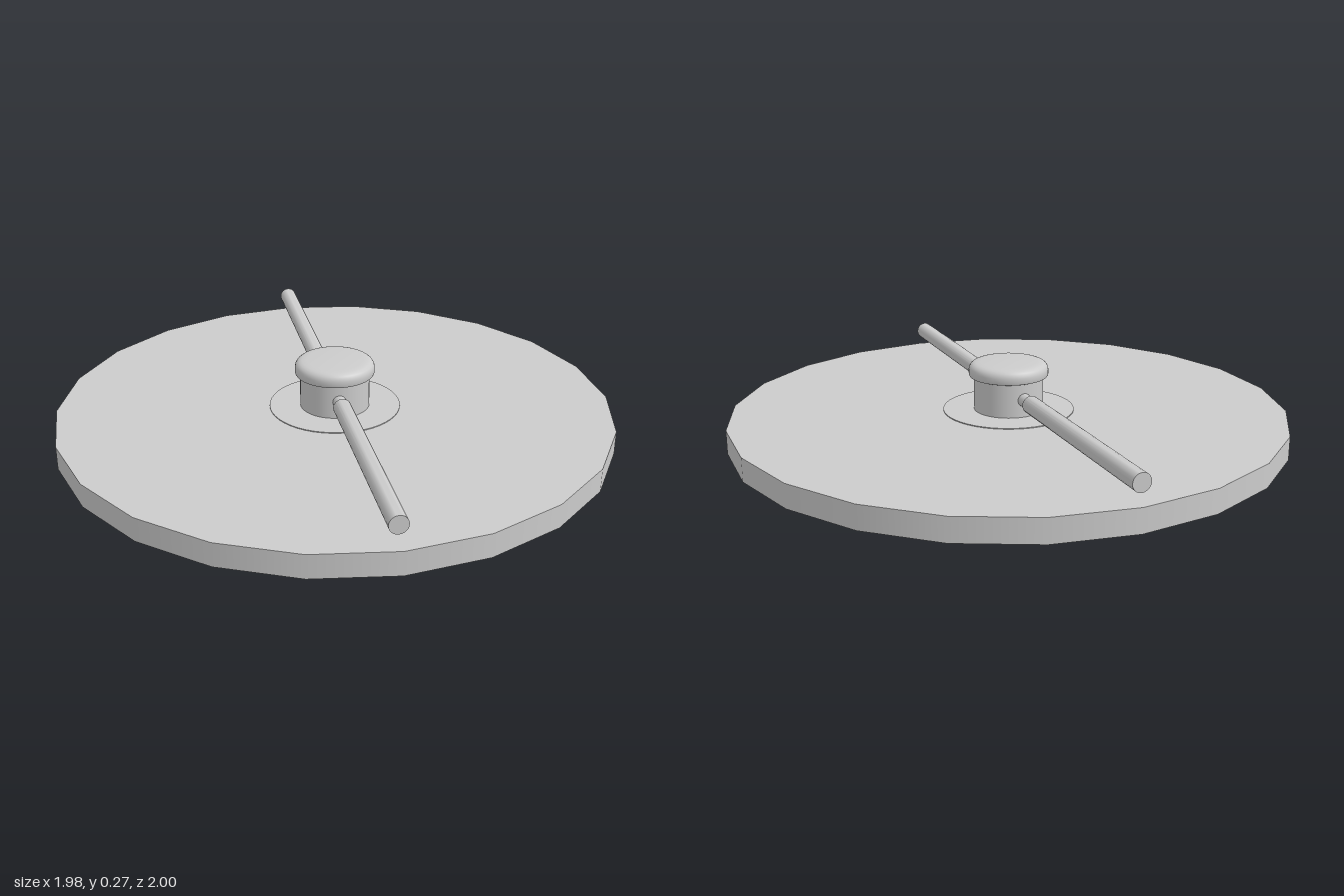
import * as THREE from 'three';
import { toCreasedNormals } from 'three/addons/utils/BufferGeometryUtils.js';

const material = new THREE.MeshStandardMaterial({ color: 0xcccccc });

function add(parent, name, geometry) {
  const mesh = new THREE.Mesh(geometry, material);
  mesh.name = name;
  parent.add(mesh);
  return mesh;
}

// Upright cylinder between two heights
function drum(parent, name, radius, y0, y1, sides) {
  const mesh = add(parent, name, new THREE.CylinderGeometry(radius, radius, y1 - y0, sides));
  mesh.position.y = (y0 + y1) / 2;
  return mesh;
}

// Turned part from [radius, height] pairs, keeping sharp corners
function turned(points, sides) {
  const profile = points.map(([r, y]) => new THREE.Vector2(r, y));
  return toCreasedNormals(new THREE.LatheGeometry(profile, sides), 0.6);
}

export function createModel() {
  const model = new THREE.Group();
  model.name = 'discWithCrossbar';

  // Broad 22-sided disc with thin round plates above and below
  drum(model, 'disc', 1, 0.004, 0.088, 22);
  drum(model, 'bottomPlate', 0.295, 0, 0.01, 48);
  drum(model, 'topPlate', 0.236, 0.08, 0.091, 48);

  // Central hub and its rounded cap
  drum(model, 'hub', 0.125, 0.085, 0.225, 48);
  add(model, 'cap', turned([
    [0, 0.214], [0.136, 0.214], [0.141, 0.216], [0.143, 0.221], [0.143, 0.238],
    [0.141, 0.247], [0.136, 0.255], [0.128, 0.261], [0.118, 0.264], [0.1, 0.266], [0, 0.266],
  ], 48));

  // Crossbar: a narrow pin through the hub carries a rod on each side
  const crossbar = new THREE.Group();
  crossbar.name = 'crossbar';
  crossbar.position.set(-0.008, 0.154, -0.007);
  model.add(crossbar);

  const pin = add(crossbar, 'pin', new THREE.CylinderGeometry(0.024, 0.024, 0.36, 24));
  pin.rotation.x = Math.PI / 2;

  const rodGeometry = turned([
    [0, 0.168], [0.028, 0.168], [0.032, 0.174], [0.032, 0.968], [0, 0.968],
  ], 24);
  for (const side of [1, -1]) {
    const rod = add(crossbar, side > 0 ? 'frontRod' : 'backRod', rodGeometry);
    rod.rotation.x = side * Math.PI / 2;
  }

  return model;
}
